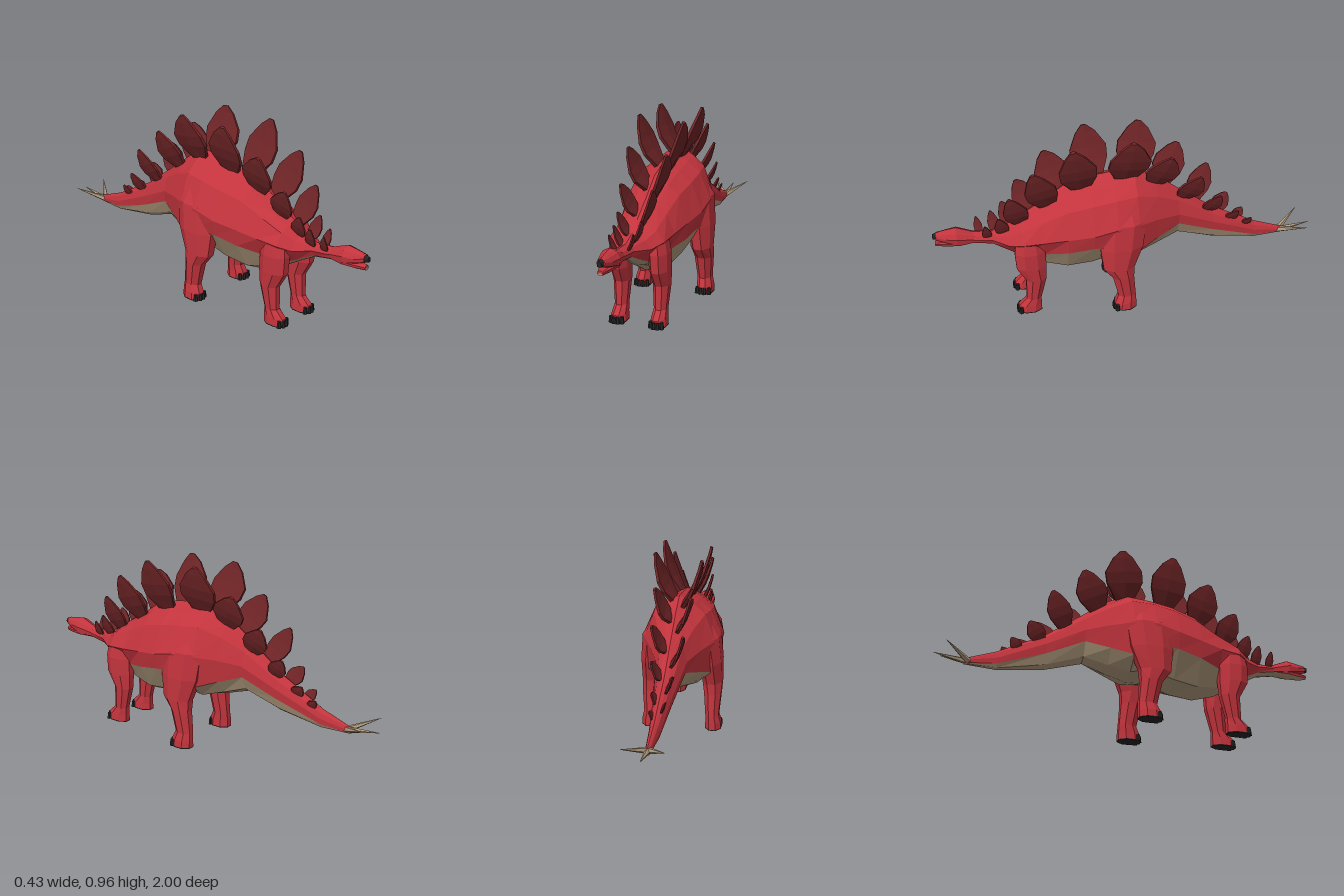
import * as THREE from 'three';

const mat = (name, color) => Object.assign(new THREE.MeshStandardMaterial({ color }), { name });

// Flat shaded skin over closed rings; pick(column) gives the material index of each strip
function loft(rings, pick = () => 0) {
  const tris = [[], []];
  const n = rings[0].length;
  const mid = r => r.reduce((s, p) => s.add(p), new THREE.Vector3()).divideScalar(n);
  const first = rings[0], last = rings[rings.length - 1];
  const c0 = mid(first), c1 = mid(last);
  for (let j = 0; j < n; j++) {
    const k = (j + 1) % n, out = tris[pick(j)];
    out.push(c0, first[k], first[j]);
    for (let i = 0; i < rings.length - 1; i++) {
      const [a, b, c, d] = [rings[i][j], rings[i][k], rings[i + 1][k], rings[i + 1][j]];
      out.push(a, b, d, b, c, d);
    }
    out.push(c1, last[j], last[k]);
  }
  const geo = new THREE.BufferGeometry().setFromPoints([...tris[0], ...tris[1]]);
  geo.addGroup(0, tris[0].length, 0);
  if (tris[1].length) geo.addGroup(tris[0].length, tris[1].length, 1);
  geo.computeVertexNormals();
  return geo;
}

// Body cross-section: back ridge, flank, colour border, underside
function section([z, top, bot, w, mid, border, borderWidth = 0.9]) {
  const L = THREE.MathUtils.lerp;
  const half = [[w * 0.4, L(mid, top, 0.82)], [w * 0.72, L(mid, top, 0.6)], [w, mid],
    [w * borderWidth, border], [w * borderWidth * 0.55, L(border, bot, 0.75)]];
  return [[0, top], ...half, [0, bot], ...half.map(([x, y]) => [-x, y]).reverse()]
    .map(([x, y]) => new THREE.Vector3(x, y, z));
}
const underside = j => (j >= 4 && j <= 7 ? 1 : 0);

// z, top, bottom, half width, widest height, underside border, border width share
const BODY = [
  [0.81, 0.46, 0.40, 0.034, 0.43, 0.412],
  [0.70, 0.452, 0.38, 0.042, 0.42, 0.393, 0.7],
  [0.62, 0.48, 0.335, 0.095, 0.41, 0.352, 0.5],
  [0.56, 0.525, 0.30, 0.137, 0.43, 0.325, 0.48],
  [0.45, 0.595, 0.235, 0.15, 0.44, 0.345, 0.72],
  [0.33, 0.68, 0.20, 0.175, 0.46, 0.37],
  [0.20, 0.72, 0.215, 0.2, 0.48, 0.395],
  [0.08, 0.735, 0.26, 0.205, 0.51, 0.40],
  [-0.03, 0.748, 0.255, 0.185, 0.51, 0.34],
  [-0.14, 0.69, 0.285, 0.132, 0.50, 0.38],
  [-0.26, 0.60, 0.325, 0.08, 0.48, 0.42],
  [-0.45, 0.46, 0.268, 0.05, 0.39, 0.34],
  [-0.69, 0.335, 0.235, 0.026, 0.29, 0.26],
  [-0.85, 0.277, 0.245, 0.012, 0.262, 0.25]];

function backHeight(z) {
  for (let i = 0; i < BODY.length - 1; i++) {
    const [a, b] = [BODY[i], BODY[i + 1]];
    if (z <= a[0] && z >= b[0]) return THREE.MathUtils.mapLinear(z, a[0], b[0], a[1], b[1]);
  }
  return BODY[0][1];
}

// Leg stations from the top down: y, z back, z front, x inner, x outer
const FRONT_LEG = [
  [0.475, 0.47, 0.56, 0.04, 0.105], [0.425, 0.452, 0.592, 0.045, 0.138], [0.37, 0.445, 0.60, 0.05, 0.147],
  [0.28, 0.442, 0.595, 0.055, 0.147], [0.20, 0.447, 0.55, 0.062, 0.142],
  [0.08, 0.477, 0.553, 0.07, 0.133], [0.04, 0.477, 0.595, 0.066, 0.138], [0.004, 0.477, 0.60, 0.064, 0.14]];
const HIND_LEG = [
  [0.64, -0.04, 0.14, 0.05, 0.13], [0.52, -0.07, 0.17, 0.07, 0.2],
  [0.38, -0.05, 0.17, 0.09, 0.212], [0.26, -0.005, 0.155, 0.11, 0.212],
  [0.20, -0.002, 0.108, 0.12, 0.21], [0.08, -0.012, 0.08, 0.13, 0.2],
  [0.04, -0.014, 0.098, 0.13, 0.21], [0.004, -0.014, 0.102, 0.128, 0.213]];

const legRing = side => ([y, z0, z1, x0, x1]) => Array.from({ length: 8 }, (_, i) => {
  const t = (i + 0.5) / 8 * Math.PI * 2, k = 1.08;
  return new THREE.Vector3(
    side * (x0 + x1) / 2 - THREE.MathUtils.clamp(Math.sin(t) * k, -1, 1) * (x1 - x0) / 2, y,
    (z0 + z1) / 2 + THREE.MathUtils.clamp(Math.cos(t) * k, -1, 1) * (z1 - z0) / 2);
});

// Back plates: side, base z, tip z, tip height, width
const PLATES = [
  [-1, 0.76, 0.775, 0.515, 0.045], [1, 0.72, 0.735, 0.515, 0.05], [-1, 0.68, 0.70, 0.535, 0.06],
  [1, 0.64, 0.665, 0.56, 0.075], [-1, 0.60, 0.64, 0.58, 0.085], [1, 0.55, 0.61, 0.69, 0.13],
  [-1, 0.49, 0.56, 0.69, 0.13], [1, 0.41, 0.49, 0.83, 0.17], [-1, 0.35, 0.41, 0.83, 0.18],
  [1, 0.24, 0.29, 0.945, 0.2], [-1, 0.17, 0.20, 0.945, 0.2], [1, 0.02, -0.01, 0.957, 0.22],
  [-1, -0.04, -0.08, 0.945, 0.21], [-1, -0.18, -0.28, 0.81, 0.17], [1, -0.13, -0.21, 0.83, 0.18],
  [1, -0.28, -0.37, 0.69, 0.14], [-1, -0.35, -0.44, 0.67, 0.13], [1, -0.41, -0.485, 0.55, 0.1],
  [-1, -0.47, -0.545, 0.50, 0.095], [1, -0.53, -0.59, 0.43, 0.07],
  [-1, -0.58, -0.63, 0.405, 0.06], [1, -0.62, -0.665, 0.375, 0.05]];

// Leaf outline from tip to base: height share, rear and front half widths
const LEAF = [[1, -0.06, 0.06], [0.86, -0.27, 0.24], [0.58, -0.49, 0.45], [0.36, -0.46, 0.46], [0, -0.22, 0.22]];

// A leaf-shaped plate that bows outwards and thins towards its tip
function plateGeometry([side, z, tipZ, tipY, width]) {
  const baseY = backHeight(z) - 0.04;
  const baseX = 0.008 + width * 0.08;
  const base = new THREE.Vector3(side * baseX, baseY, z);
  const up = new THREE.Vector3(side * (baseX + (tipY - baseY) * 0.4), tipY, tipZ).sub(base);
  const h = up.length();
  up.normalize();
  const fwd = new THREE.Vector3(0, 0, 1).addScaledVector(up, -up.z).normalize();
  const normal = fwd.clone().cross(up);
  return loft(LEAF.map(([t, rear, front]) => {
    const bow = -side * h * 0.22 * t * (1 - t);
    const thick = (0.005 + width * 0.045) * (1.15 - 0.55 * t);
    const middle = (front + rear) / 2;
    const ring = [[front, -0.6], [front, 0.6], [middle, 1], [rear, 0.6], [rear, -0.6], [middle, -1]];
    return ring.map(([f, n]) => base.clone().addScaledVector(up, t * h)
      .addScaledVector(fwd, f * width).addScaledVector(normal, n * thick + bow));
  }));
}

export function createModel() {
  const red = mat('red skin', 0xc3343d);
  const dark = mat('dark red plates', 0x6e2426);
  const tan = mat('tan underside', 0xaf997c);
  const black = mat('black claws', 0x242424);
  const model = new THREE.Group();
  model.name = 'platedDinosaur';
  const add = (name, geo, material, parent = model) => {
    const m = new THREE.Mesh(geo, material);
    m.name = name;
    parent.add(m);
    return m;
  };

  // Trunk, neck and tail
  add('body', loft(BODY.map(section), underside), [red, tan]);

  // Head with beak and slightly open lower jaw
  add('head', loft([
    [0.982, 0.478, 0.437, 0.02, 0.46, 0.442], [0.935, 0.487, 0.42, 0.036, 0.45, 0.43],
    [0.88, 0.494, 0.403, 0.05, 0.45, 0.418], [0.79, 0.457, 0.40, 0.034, 0.43, 0.41]].map(section)), [red]);
  add('beak', loft([[1.0, 0.47, 0.443, 0.011, 0.456, 0.446],
    [0.972, 0.481, 0.435, 0.016, 0.46, 0.441]].map(section)), [black]);
  add('jaw', loft([
    [0.99, 0.425, 0.4, 0.014, 0.416, 0.406], [0.94, 0.43, 0.395, 0.028, 0.418, 0.404],
    [0.87, 0.435, 0.397, 0.043, 0.42, 0.406], [0.8, 0.43, 0.398, 0.033, 0.42, 0.41]].map(section), underside), [red, tan]);

  // Legs with soles and claws
  for (const [name, stations] of [['front', FRONT_LEG], ['hind', HIND_LEG]]) {
    for (const side of [1, -1]) {
      const leg = new THREE.Group();
      leg.name = name + (side > 0 ? 'LeftLeg' : 'RightLeg');
      model.add(leg);
      add('limb', loft(stations.map(legRing(side))), [red], leg);
      const [, z0, z1, x0, x1] = stations[stations.length - 1];
      add('sole', loft([[0.005, z0, z1, x0, x1], [0, z0, z1, x0, x1]].map(legRing(side))), [black], leg);
      for (let i = 0; i < 4; i++) {
        const claw = new THREE.CylinderGeometry(0.009, 0.013, 0.034, 6).toNonIndexed();
        claw.computeVertexNormals();
        const edge = i === 0 || i === 3 ? 0.014 : 0.004;
        add('claw', claw, black, leg).position.set(side * (x0 + (x1 - x0) * (0.13 + i * 0.247)), 0.017, z1 - edge);
      }
    }
  }

  // Two staggered rows of plates
  const plates = new THREE.Group();
  plates.name = 'backPlates';
  model.add(plates);
  PLATES.forEach(p => add('backPlate', plateGeometry(p), dark, plates));

  // Tail spikes
  const root = new THREE.Vector3(0, 0.26, -0.825);
  for (const tip of [[0.1, 0.318, -0.955], [-0.1, 0.318, -0.955], [0, 0.288, -1]]) {
    const dir = new THREE.Vector3(...tip).sub(root);
    const len = dir.length();
    const cone = new THREE.CylinderGeometry(0.001, 0.017, len, 5).translate(0, len / 2, 0).toNonIndexed();
    cone.computeVertexNormals();
    const spike = add('tailSpike', cone, tan);
    spike.position.copy(root);
    spike.quaternion.setFromUnitVectors(new THREE.Vector3(0, 1, 0), dir.normalize());
  }
  return model;
}
